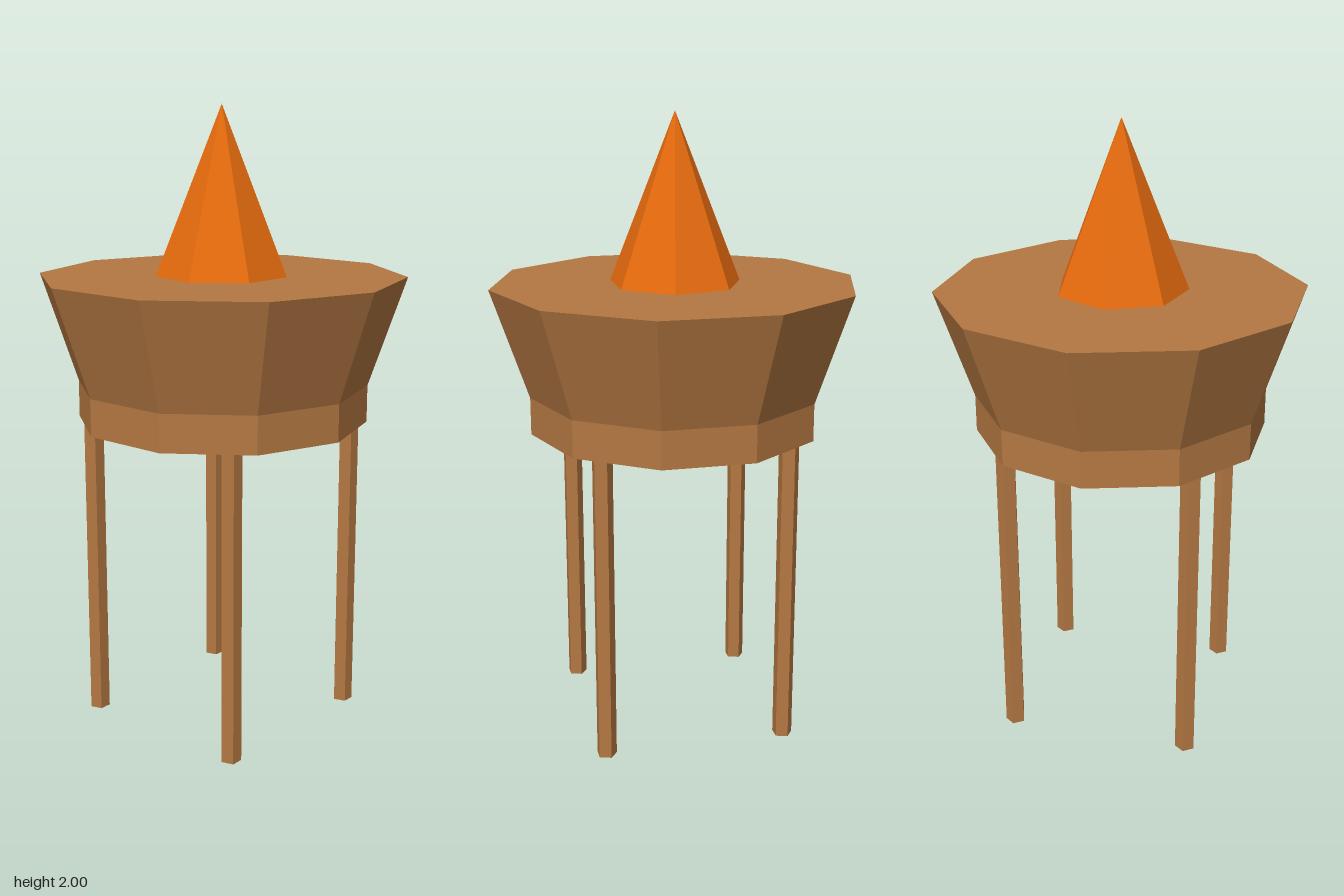
import * as THREE from 'three';

export function createModel() {
  const model = new THREE.Group();
  const wood = new THREE.MeshStandardMaterial({ name: 'brown wood', color: 0xb47842, flatShading: true });
  const fire = new THREE.MeshStandardMaterial({ name: 'orange flame', color: 0xff7711, flatShading: true });

  // Upright faceted cylinder or cone standing on height y0
  function prism(name, material, rTop, rBottom, y0, y1, sides, open = false) {
    const geometry = new THREE.CylinderGeometry(rTop, rBottom, y1 - y0, sides, 1, open);
    geometry.translate(0, (y0 + y1) / 2, 0);
    const mesh = new THREE.Mesh(geometry, material);
    mesh.name = name;
    model.add(mesh);
    return mesh;
  }

  // Ten-sided bowl: straight base ring and flared upper part
  prism('bowlBase', wood, 0.47, 0.47, 1.0, 1.12, 10);
  prism('bowl', wood, 0.588, 0.47, 1.12, 1.47, 10);

  // Seven-sided flame, one corner pointing back
  const flame = prism('flame', fire, 0, 0.212, 1.47, 2.0, 7);
  flame.rotation.y = Math.PI;

  // Four five-sided legs, flat side to the front
  for (const x of [-1, 1]) {
    for (const z of [-1, 1]) {
      const name = (z > 0 ? 'front' : 'back') + (x > 0 ? 'Left' : 'Right') + 'Leg';
      const leg = prism(name, wood, 0.033, 0.033, 0, 1.0, 5);
      leg.position.set(x * 0.295, 0, z * 0.295);
      leg.rotation.y = Math.PI;
    }
  }
  return model;
}
